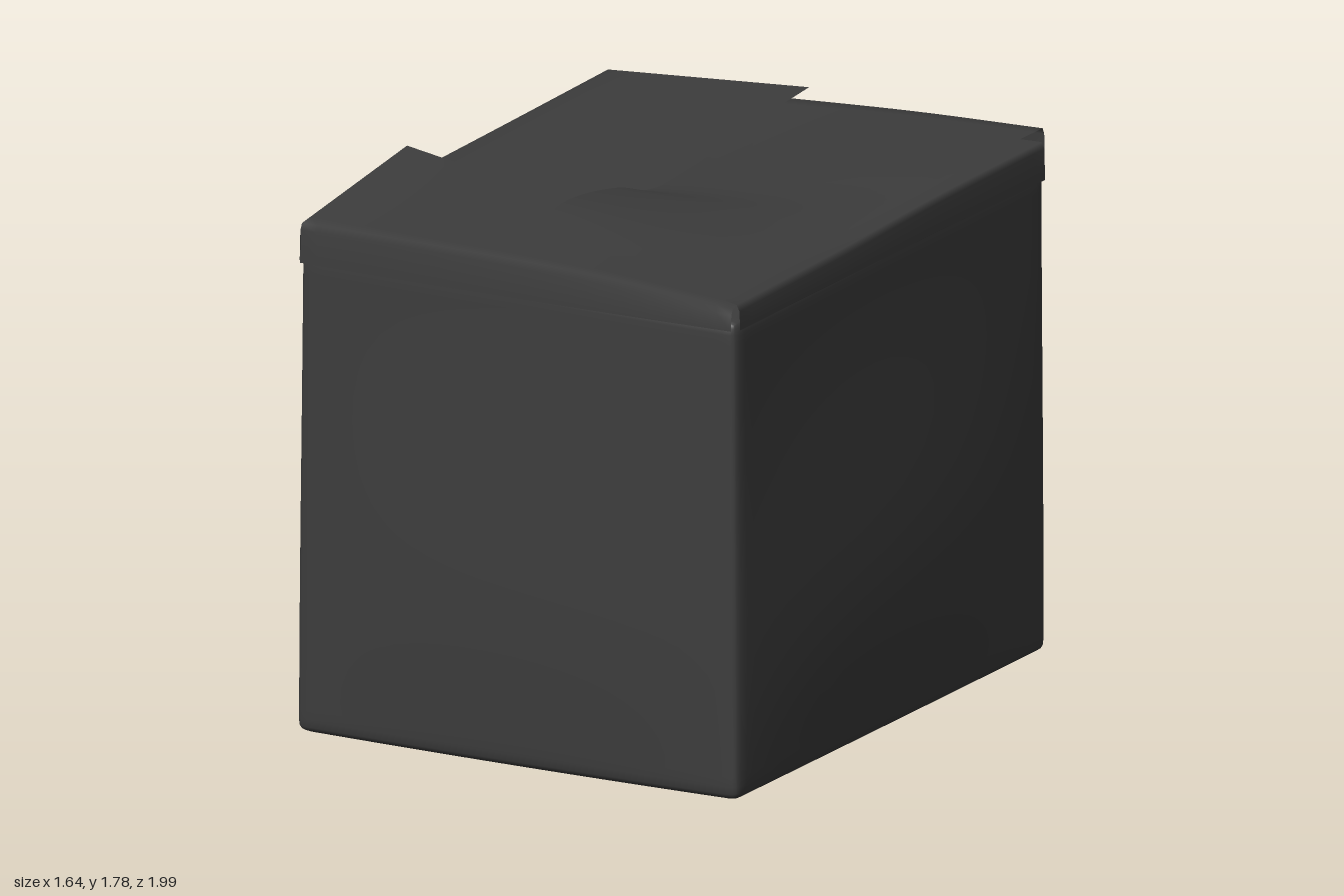
import * as THREE from 'three';

const card = new THREE.MeshStandardMaterial({ color: 0x3c3c3c });
const flapCard = new THREE.MeshStandardMaterial({ color: 0x3c3c3c, side: THREE.DoubleSide });

// Bulging carton with softly rounded edges
function makeBody() {
  const H = 1.6, hx = 0.775, hz = 0.965, r = 0.035, n = 28;
  const geo = new THREE.BoxGeometry(2, 2, 2, n, n, n);
  const pos = geo.attributes.position;
  const inner = new THREE.Vector3(), p = new THREE.Vector3();
  const half = new THREE.Vector3(hx, H / 2, hz);
  const lim = half.clone().subScalar(r);
  for (let i = 0; i < pos.count; i++) {
    p.fromBufferAttribute(pos, i);
    // pack grid lines toward the edges, then round them
    const a = p.toArray().map((v) => Math.sin(v * Math.PI / 2));
    p.fromArray(a).multiply(half);
    inner.copy(p).clamp(lim.clone().negate(), lim);
    const d = p.clone().sub(inner);
    if (d.lengthSq() > 0) p.copy(inner).addScaledVector(d.normalize(), r);
    const u = p.x / hx, w = p.z / hz, t = p.y / H + 0.5;
    // fullness of the walls, strongest low down and fading to the rim
    const belly = Math.pow(Math.sin(Math.PI * Math.pow(Math.max(0, Math.min(1, t)), 0.65)), 2);
    const bow = (s) => Math.max(0, 1 - s * s);
    const low = 0.012 * (1 - t);
    p.x += u * (0.035 * belly * bow(w) + low);
    p.z += w * (bow(u) * (0.012 + 0.018 * belly) + (w > 0 ? 0.008 : -0.006) * (1 - t));
    // sagging bottom, rim dipping toward the front left corner
    p.y += H / 2 + 0.018 * (1 - t) * (1 - bow(u) * bow(w));
    p.y -= t * (0.03 + 0.015 * Math.max(0, u) * Math.max(0, w));
    pos.setXYZ(i, p.x, p.y, p.z);
  }
  // box corners are split per side: average matching normals so edges shade smoothly
  geo.computeVertexNormals();
  const nor = geo.attributes.normal, shared = new Map();
  const key = (i) => [pos.getX(i), pos.getY(i), pos.getZ(i)].map((v) => Math.round(v * 1e4)).join();
  for (let i = 0; i < pos.count; i++) {
    const k = key(i);
    if (!shared.has(k)) shared.set(k, new THREE.Vector3());
    shared.get(k).add(p.fromBufferAttribute(nor, i));
  }
  for (let i = 0; i < pos.count; i++) {
    p.copy(shared.get(key(i))).normalize();
    nor.setXYZ(i, p.x, p.y, p.z);
  }
  const mesh = new THREE.Mesh(geo, card);
  mesh.name = 'cartonBody';
  return mesh;
}

// Flap lofted from a fold line to a free edge, with a short lip down the wall
function makeFlap(name, outward, fold, edge) {
  const toCurve = (pts) => new THREE.CatmullRomCurve3(pts.map((q) => new THREE.Vector3(...q)));
  const a = toCurve(fold), b = toCurve(edge);
  const out = new THREE.Vector3(...outward);
  const cols = 24, rows = 12, verts = [], index = [];
  for (let j = -2; j <= rows; j++) {
    for (let i = 0; i <= cols; i++) {
      const p = a.getPoint(i / cols);
      if (j < 0) {
        p.addScaledVector(out, j === -2 ? 0.012 : 0.01);
        p.y = j === -2 ? 1.53 : p.y - 0.02;
      } else p.lerp(b.getPoint(i / cols), j / rows);
      verts.push(p.x, p.y, p.z);
    }
  }
  const w = cols + 1;
  for (let j = 0; j < rows + 2; j++) {
    for (let i = 0; i < cols; i++) {
      const k = j * w + i;
      index.push(k, k + 1, k + w, k + 1, k + w + 1, k + w);
    }
  }
  const geo = new THREE.BufferGeometry();
  geo.setAttribute('position', new THREE.Float32BufferAttribute(verts, 3));
  geo.setIndex(index);
  geo.computeVertexNormals();
  const mesh = new THREE.Mesh(geo, flapCard);
  mesh.name = name;
  return mesh;
}

export function createModel() {
  const group = new THREE.Group();
  group.name = 'carton';
  group.add(makeBody());

  // Four flaps tucked over one another in a pinwheel
  group.add(makeFlap('leftSideFlap', [1, 0, 0],
    [[0.77, 1.61, 0.95], [0.765, 1.62, 0.3], [0.765, 1.64, -0.3], [0.77, 1.65, -0.95]],
    [[0.05, 1.76, 0.945], [0.025, 1.775, 0.7], [0.01, 1.725, 0.35], [0, 1.665, 0.15],
      [0, 1.655, -0.3], [0, 1.635, -0.94]]));
  group.add(makeFlap('backFlap', [0, 0, -1],
    [[0.765, 1.69, -0.965], [0.3, 1.675, -0.975], [-0.3, 1.645, -0.975], [-0.765, 1.63, -0.965]],
    [[0.76, 1.69, -0.32], [0.4, 1.695, -0.32], [0, 1.645, -0.32], [-0.4, 1.63, -0.32], [-0.76, 1.625, -0.32]]));
  group.add(makeFlap('rightSideFlap', [-1, 0, 0],
    [[-0.77, 1.66, -0.95], [-0.765, 1.65, -0.3], [-0.765, 1.64, 0.3], [-0.77, 1.63, 0.95]],
    [[-0.05, 1.71, -0.94], [-0.035, 1.695, -0.6], [-0.005, 1.665, -0.1], [0, 1.65, 0.32], [0, 1.63, 0.94]]));
  group.add(makeFlap('frontFlap', [0, 0, 1],
    [[-0.765, 1.655, 0.965], [-0.3, 1.655, 0.975], [0.3, 1.64, 0.975], [0.765, 1.6, 0.965]],
    [[-0.76, 1.74, 0.32], [-0.4, 1.685, 0.32], [0, 1.675, 0.335], [0.4, 1.63, 0.33], [0.76, 1.6, 0.32]]));
  return group;
}
